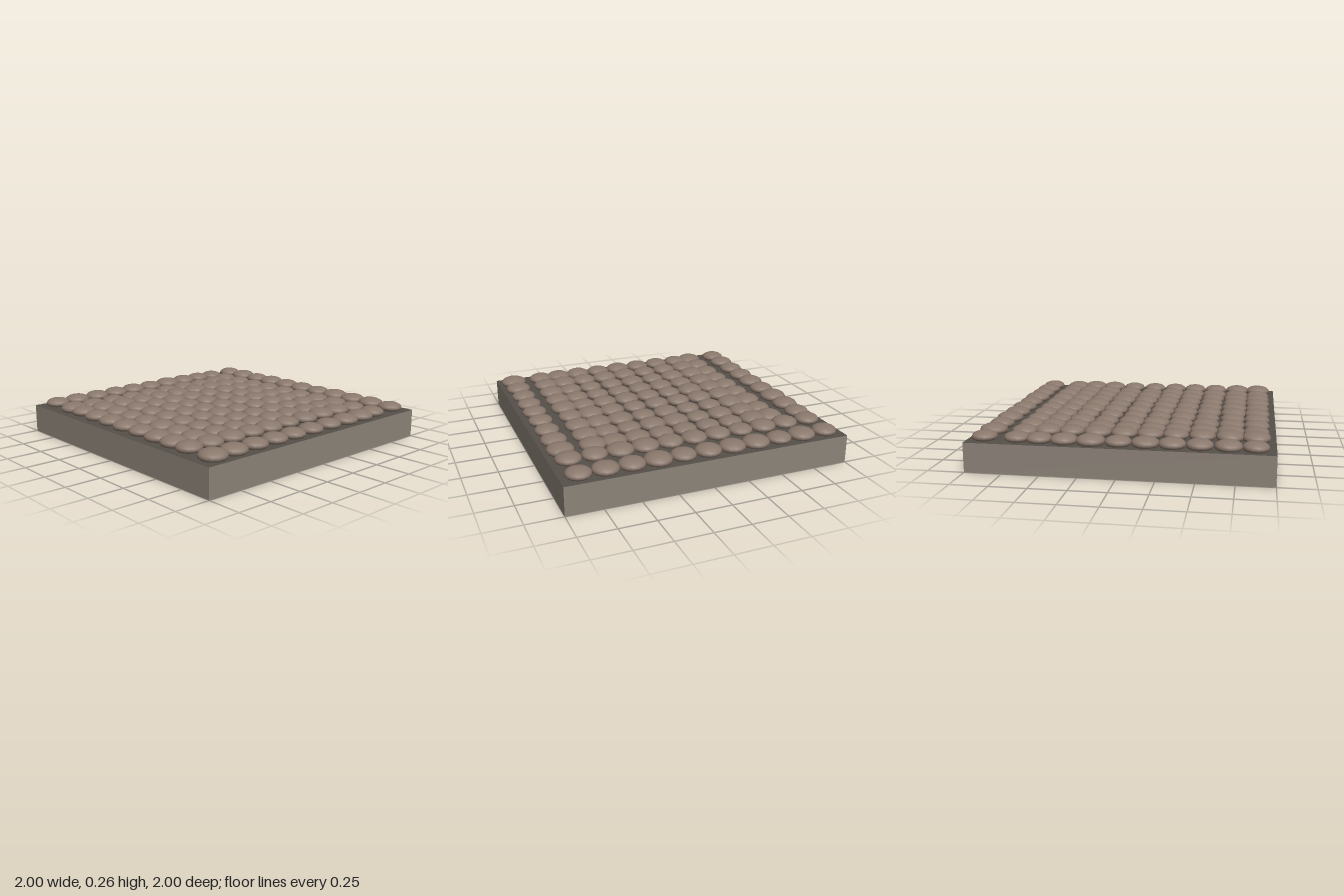
import * as THREE from 'three';

export function createModel() {
  const group = new THREE.Group();
  group.name = 'cobbledTile';

  const stoneMat = new THREE.MeshStandardMaterial({ color: 0x8a786c });
  const slabMat = new THREE.MeshStandardMaterial({ color: 0x8c8378 });
  const mortarMat = new THREE.MeshStandardMaterial({ color: 0x55504a });

  // Square slab with a dark mortar bed as its top face
  const slab = new THREE.Mesh(
    new THREE.BoxGeometry(2, 0.2, 2),
    [slabMat, slabMat, mortarMat, slabMat, slabMat, slabMat]
  );
  slab.name = 'slab';
  slab.position.y = 0.1;
  group.add(slab);

  // Seeded variation for stone sizes
  let seed = 17;
  const vary = (min, max) => {
    seed = (seed * 16807) % 2147483647;
    return min + (max - min) * (seed / 2147483647);
  };

  // Flattened round cobbles: two even rows at the back, then rows
  // whose outer columns leave a gap along both sides
  const stones = new THREE.Group();
  stones.name = 'cobbles';
  const stoneGeo = new THREE.SphereGeometry(1, 14, 10);
  const rows = [-0.89, -0.67, -0.52, -0.355, -0.18, 0, 0.175, 0.345, 0.52, 0.7, 0.87];
  const evenColumns = [-0.88, -0.7, -0.525, -0.35, -0.175, 0, 0.175, 0.35, 0.525, 0.7, 0.875];
  const gapColumns = [-0.89, -0.66, -0.525, -0.35, -0.175, 0, 0.175, 0.35, 0.515, 0.665, 0.885];

  rows.forEach((z, row) => {
    const columns = row < 2 ? evenColumns : gapColumns;
    for (const x of columns) {
      const radius = vary(0.086, 0.097);
      const stone = new THREE.Mesh(stoneGeo, stoneMat);
      stone.name = 'cobble';
      stone.scale.set(radius, radius * 0.45, radius);
      stone.position.set(x, 0.22, z);
      stone.rotation.y = vary(0, Math.PI);
      stones.add(stone);
    }
  });
  group.add(stones);

  return group;
}
